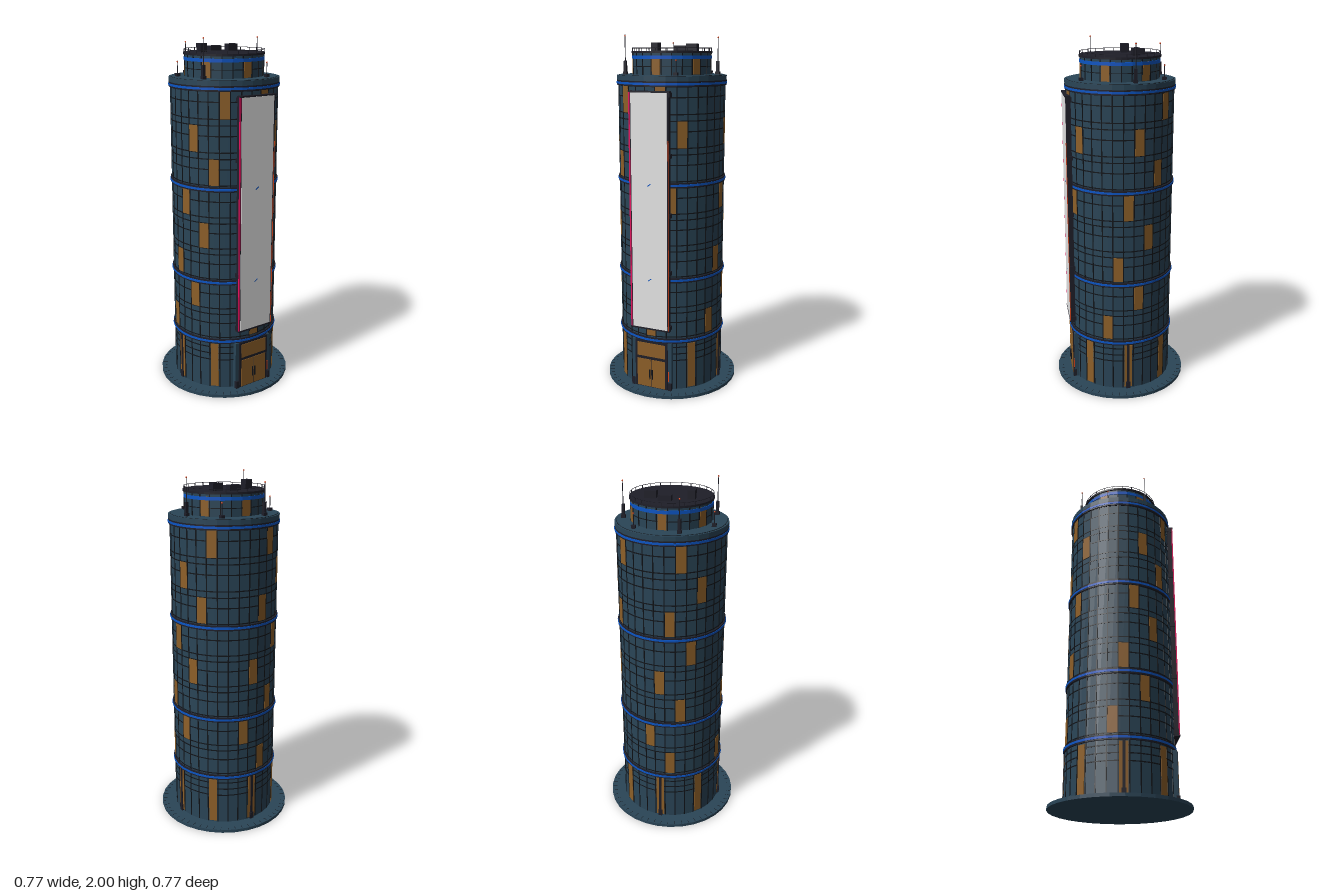
import * as THREE from 'three';

const mat = (name, color) => {
  const m = new THREE.MeshStandardMaterial({ color });
  m.name = name;
  return m;
};

export function createModel() {
  const teal = mat('teal cladding', 0x2a4557);
  const dark = mat('dark metal', 0x1e1e28);
  const seam = mat('black seam', 0x111419);
  const amber = mat('lit amber glass', 0x8e6029);
  const blue = mat('blue light', 0x0b55c4);
  const white = mat('screen white', 0xf4f4f4);
  const pink = mat('pink light', 0xe8105f);
  const red = mat('orange red light', 0xd8431a);

  const model = new THREE.Group();
  model.name = 'roundTower';
  const SIDES = 32, STEP = (Math.PI * 2) / SIDES, R = 0.298;
  const APOTHEM = R * Math.cos(STEP / 2);
  const FLOOR0 = 0.318, FLOOR_H = 0.1785, FLOORS = 8;

  const group = (name) => {
    const g = new THREE.Group();
    g.name = name;
    model.add(g);
    return g;
  };
  const add = (parent, name, geo, material, x, y, z, rotY = 0) => {
    const m = new THREE.Mesh(geo, material);
    m.name = name;
    m.position.set(x, y, z);
    m.rotation.y = rotY;
    parent.add(m);
    return m;
  };
  const box = (parent, name, material, w, h, d, x, y, z, rotY = 0) =>
    add(parent, name, new THREE.BoxGeometry(w, h, d), material, x, y, z, rotY);
  // Box placed at an angle around the tower axis, measured from the front
  const around = (parent, name, material, w, h, d, r, y, a) =>
    box(parent, name, material, w, h, d, Math.sin(a) * r, y, Math.cos(a) * r, a);
  // Faceted disc or drum between two heights
  const drum = (parent, name, material, r, y0, y1, sides = SIDES, turn = STEP / 2) => {
    const geo = new THREE.CylinderGeometry(r, r, y1 - y0, sides).toNonIndexed();
    geo.computeVertexNormals();
    return add(parent, name, geo, material, 0, (y0 + y1) / 2, 0, turn);
  };

  // Base plate with radial joints
  const base = group('basePlate');
  drum(base, 'plate', teal, 0.385, 0, 0.018, SIDES, 0);
  for (let i = 0; i < 56; i++)
    around(base, 'plateJoint', seam, 0.002, 0.002, 0.026, 0.366, 0.018, ((i + 0.5) / 56) * Math.PI * 2);

  // Main shaft with vertical mullions on every facet edge
  const shaft = group('shaft');
  drum(shaft, 'wall', teal, R, 0.018, 1.76);
  for (let k = 0; k < SIDES; k++)
    around(shaft, 'mullion', seam, 0.006, 1.73, 0.006, R - 0.001, 0.885, (k + 0.5) * STEP);

  // Storeys: lit windows in a repeating diagonal pattern, and horizontal seams
  const storeys = group('storeys');
  for (let f = 0; f < FLOORS; f++) {
    const y = FLOOR0 + f * FLOOR_H;
    for (let k = 0; k < SIDES; k++) {
      const phase = (((k - 9 * f) % 17) + 17) % 17;
      if (phase === 0 || phase === 6)
        around(storeys, 'litWindow', amber, 0.052, 0.142, 0.006, APOTHEM, y + 0.092, k * STEP);
    }
    for (const dy of [0.02, 0.108, 0.164])
      drum(storeys, 'seamRing', seam, R + 0.0015, y + dy - 0.003, y + dy + 0.003);
  }

  // Ground storey with service posts at the sides and back
  const ground = group('groundStorey');
  for (let k = 4; k <= 28; k += 4)
    around(ground, 'groundWindow', amber, 0.046, 0.27, 0.006, APOTHEM, 0.16, k * STEP);
  for (const y of [0.195, 0.235, 0.275])
    drum(ground, 'groundSeam', seam, R + 0.0015, y - 0.003, y + 0.003);
  for (let k = 8; k <= 24; k += 8) {
    around(ground, 'servicePost', dark, 0.014, 0.285, 0.01, R + 0.001, 0.16, k * STEP);
    around(ground, 'postFoot', dark, 0.024, 0.04, 0.016, R + 0.002, 0.038, k * STEP);
  }

  // Glowing ring bands with dark rims
  const bands = group('lightBands');
  for (const y of [0.315, 0.675, 1.21, 1.745]) {
    drum(bands, 'bandRim', dark, 0.3065, y - 0.014, y + 0.014);
    drum(bands, 'bandLight', blue, 0.309, y - 0.006, y + 0.006);
  }

  // Entrance
  const door = group('entrance');
  box(door, 'doorFrame', dark, 0.2, 0.285, 0.03, 0, 0.16, 0.286);
  for (const s of [-1, 1]) {
    box(door, 'doorLeaf', amber, 0.084, 0.168, 0.006, s * 0.0445, 0.106, 0.301);
    box(door, 'doorHandle', seam, 0.005, 0.06, 0.006, s * 0.008, 0.1, 0.306);
    box(door, 'doorPillar', teal, 0.022, 0.285, 0.03, s * 0.111, 0.16, 0.28);
    box(door, 'doorBollard', dark, 0.018, 0.045, 0.02, s * 0.114, 0.04, 0.294);
  }
  box(door, 'transom', amber, 0.172, 0.082, 0.006, 0, 0.249, 0.301);
  box(door, 'entryPanelLight', red, 0.006, 0.06, 0.004, 0.106, 0.1, 0.297);

  // Tall display on the front
  const display = group('display');
  box(display, 'displayCase', dark, 0.228, 1.33, 0.028, 0, 1.045, 0.299);
  box(display, 'screen', white, 0.21, 1.312, 0.003, 0, 1.045, 0.314);
  box(display, 'leftEdgeLight', pink, 0.008, 1.32, 0.006, -0.114, 1.045, 0.312);
  box(display, 'rightEdgeLight', red, 0.003, 1.07, 0.005, 0.1125, 0.92, 0.314);
  for (const y of [0.384, 1.706])
    box(display, 'frameRail', dark, 0.236, 0.008, 0.03, 0, y, 0.302);
  for (const s of [-1, 1])
    for (const y of [0.4, 0.72, 1.045, 1.37, 1.69])
      box(display, 'bracket', dark, 0.008, 0.024, 0.03, s * 0.115, y, 0.295);
  // Slanted glints where the ring bands meet the screen
  for (const y of [0.675, 1.21])
    box(display, 'screenGlint', blue, 0.024, 0.005, 0.002, 0, y, 0.3155).rotation.z = 0.6;

  // Crown ledge
  const crown = group('crown');
  drum(crown, 'ledge', teal, 0.306, 1.758, 1.785);
  drum(crown, 'ledgeSeam', seam, 0.2965, 1.785, 1.786);
  drum(crown, 'ledgeDeck', teal, 0.2945, 1.785, 1.788);

  // Upper drum and roof
  const top = group('upperDrum');
  const TOP_SIDES = 24, topStep = (Math.PI * 2) / TOP_SIDES;
  drum(top, 'drumWall', teal, 0.218, 1.785, 1.905, TOP_SIDES, topStep / 2);
  for (let k = 0; k < TOP_SIDES; k++) {
    around(top, 'drumMullion', seam, 0.005, 0.118, 0.006, 0.218, 1.845, (k + 0.5) * topStep);
    if (k % 4 === 0)
      around(top, 'drumWindow', amber, 0.046, 0.1, 0.006, 0.2165, 1.84, k * topStep);
  }
  drum(top, 'drumLight', blue, 0.2225, 1.872, 1.89, TOP_SIDES, topStep / 2);
  drum(top, 'drumSeam', seam, 0.22, 1.83, 1.834, TOP_SIDES, topStep / 2);
  drum(top, 'roof', dark, 0.225, 1.903, 1.914, 48, 0);

  // Roof railing
  const rail = group('roofRailing');
  add(rail, 'handrail', new THREE.TorusGeometry(0.221, 0.0015, 5, 48), dark, 0, 1.93, 0).rotation.x = Math.PI / 2;
  for (let i = 0; i < 24; i++)
    around(rail, 'railPost', dark, 0.003, 0.02, 0.003, 0.221, 1.92, i * topStep);

  // Rooftop plant boxes: x, z, width, depth, height
  const plant = group('roofPlant');
  for (const [x, z, w, d, h] of [
    [-0.117, -0.045, 0.04, 0.045, 0.048],
    [0.01, -0.11, 0.07, 0.04, 0.03],
    [0.095, -0.07, 0.063, 0.04, 0.04],
  ]) {
    box(plant, 'plantBox', dark, w, h, d, x, 1.913 + h / 2, z);
  }

  // Antennas on the ledge: x, z, tip height
  const masts = group('antennas');
  for (const [x, z, tip] of [
    [-0.097, -0.245, 1.965], [0.15, -0.215, 1.87], [0.257, -0.04, 1.99],
    [-0.245, -0.09, 1.87], [-0.222, 0.135, 2.0], [0.12, 0.228, 1.87],
  ]) {
    const h = tip - 1.785;
    box(masts, 'mastFoot', dark, 0.022, 0.018, 0.022, x, 1.795, z);
    if (tip > 1.9) box(masts, 'mastBox', dark, 0.015, 0.062, 0.015, x, 1.83, z);
    add(masts, 'mast', new THREE.CylinderGeometry(0.0018, 0.003, h, 6), dark, x, 1.785 + h / 2, z);
    add(masts, 'beacon', new THREE.SphereGeometry(0.0045, 8, 6), red, x, tip - 0.0045, z);
  }

  return model;
}
